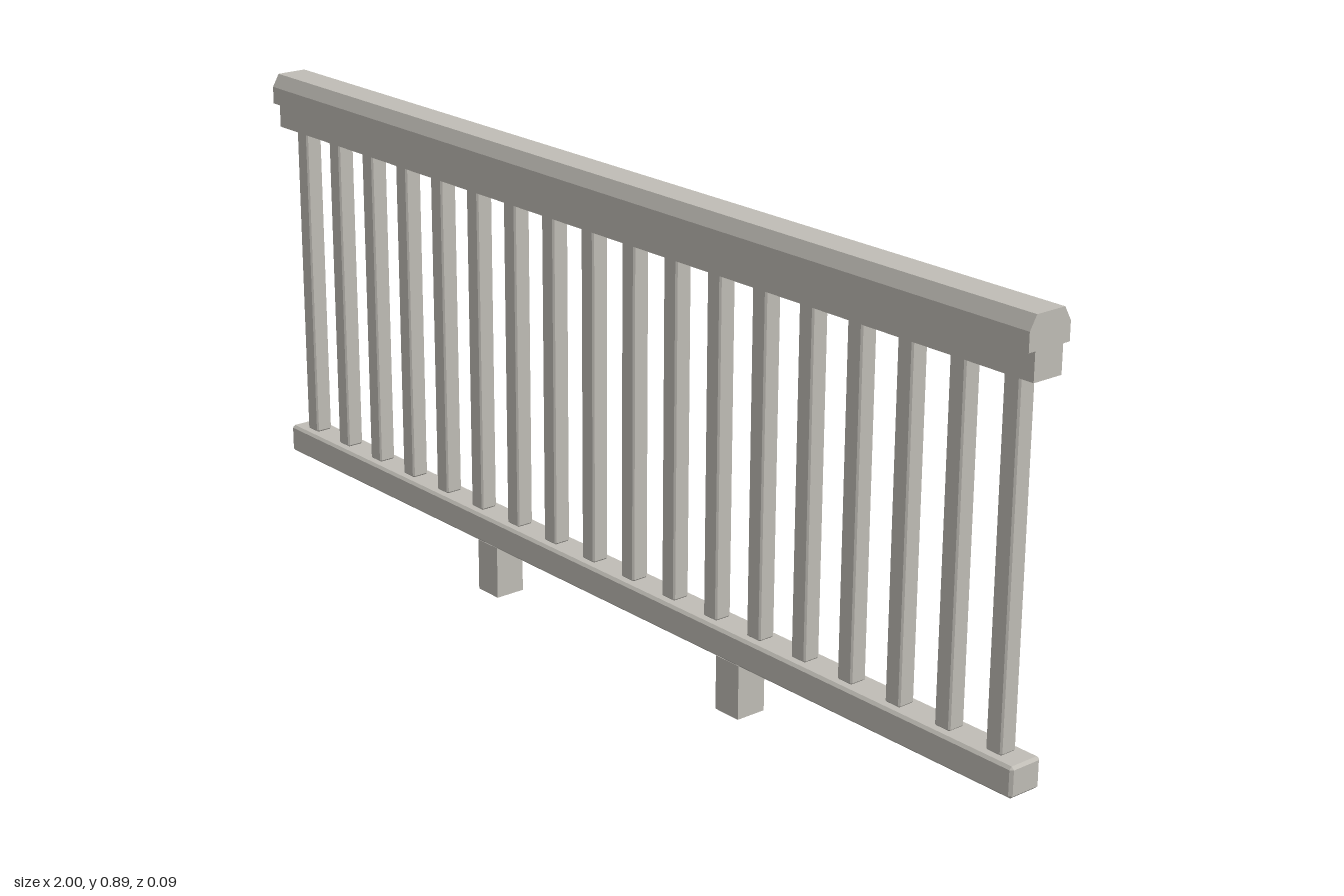
import * as THREE from 'three';
import { ConvexGeometry } from 'three/addons/geometries/ConvexGeometry.js';

// Box with every edge cut at 45 degrees by c
function chamferBox(w, h, d, c) {
  const points = [];
  for (const sx of [-1, 1]) for (const sy of [-1, 1]) for (const sz of [-1, 1]) {
    const x = w / 2, y = h / 2, z = d / 2;
    points.push(
      new THREE.Vector3(sx * x, sy * (y - c), sz * (z - c)),
      new THREE.Vector3(sx * (x - c), sy * y, sz * (z - c)),
      new THREE.Vector3(sx * (x - c), sy * (y - c), sz * z)
    );
  }
  return new ConvexGeometry(points);
}

export function createModel() {
  const group = new THREE.Group();
  group.name = 'railing';
  const paint = new THREE.MeshStandardMaterial({ color: 0xc0bdb6 });
  paint.name = 'warmGrey';

  const add = (name, geometry, x, y, z = 0) => {
    const mesh = new THREE.Mesh(geometry, paint);
    mesh.name = name;
    mesh.position.set(x, y, z);
    group.add(mesh);
    return mesh;
  };

  // Handrail: stepped cap profile, symmetric, extruded along x
  const half = [[0.03, 0.78], [0.03, 0.829], [0.044, 0.829], [0.044, 0.862], [0.03, 0.886]];
  const outline = [...half, ...half.map(([z, y]) => [-z, y]).reverse()];
  const profile = new THREE.Shape(outline.map(([z, y]) => new THREE.Vector2(z, y)));
  const railGeometry = new THREE.ExtrudeGeometry(profile, { depth: 2, bevelEnabled: false });
  railGeometry.translate(0, 0, -1).rotateY(Math.PI / 2);
  add('handrail', railGeometry, 0, 0);

  // Bottom rail
  add('bottomRail', chamferBox(2, 0.055, 0.066, 0.005), 0, 0.1275);

  // Balusters
  const count = 18, reach = 0.945;
  const balusterGeometry = chamferBox(0.034, 0.626, 0.034, 0.003);
  for (let i = 0; i < count; i++) {
    add('baluster', balusterGeometry, -reach + (2 * reach * i) / (count - 1), 0.468);
  }

  // Support feet
  const footGeometry = new THREE.BoxGeometry(0.058, 0.101, 0.06);
  for (const side of [-1, 1]) add('foot', footGeometry, side * 0.34, 0.0505);

  return group;
}
